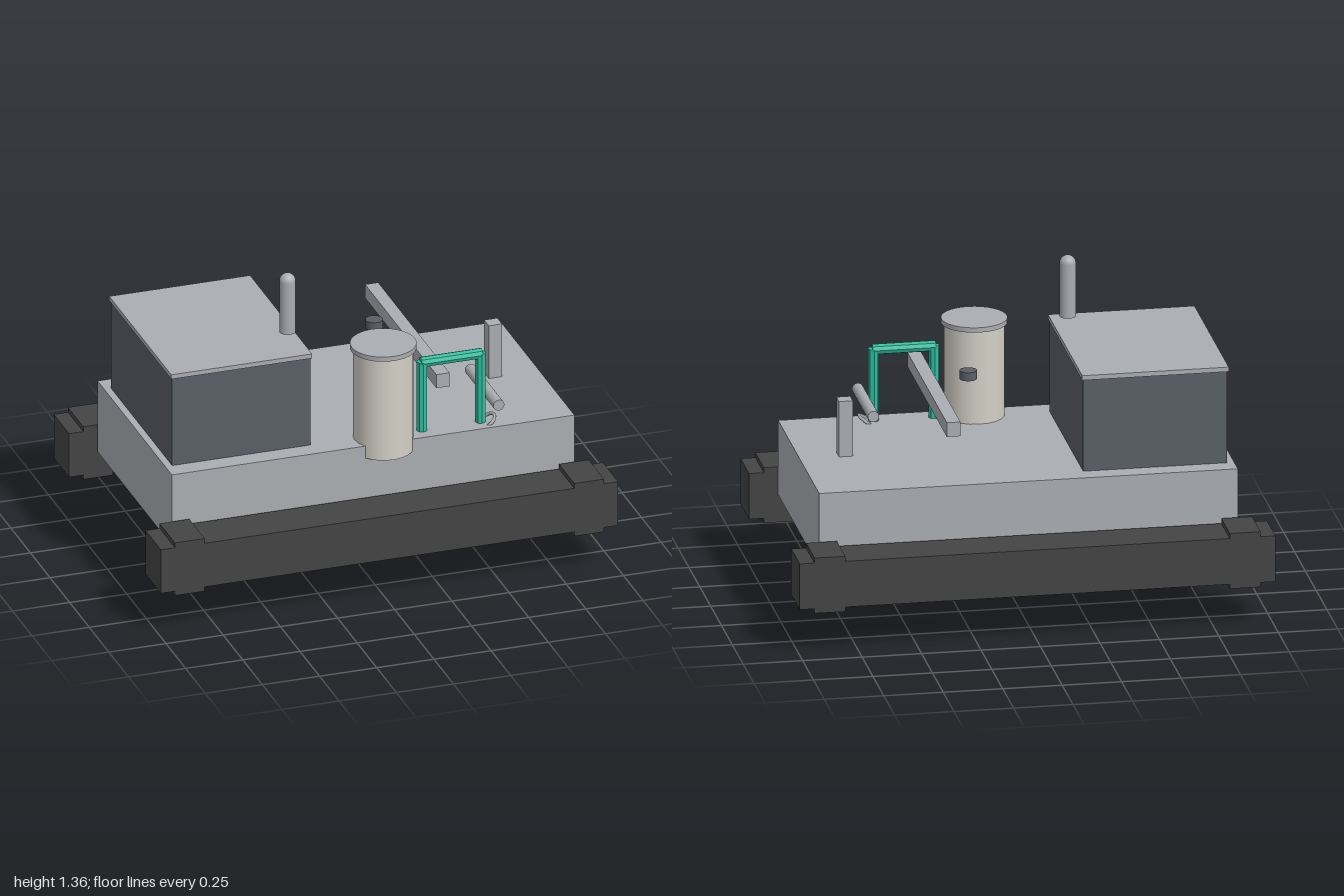
import * as THREE from 'three';

const mat = (color) => new THREE.MeshStandardMaterial({ color });

export function createModel() {
  const model = new THREE.Group();
  const grey = mat(0xaaadb2), dark = mat(0x444444), slate = mat(0x5a5e67);
  const cream = mat(0xd3d0c6), green = mat(0x2fbf9f);
  green.flatShading = true;

  const add = (name, geometry, material, x, y, z) => {
    const mesh = new THREE.Mesh(geometry, material);
    mesh.name = name;
    mesh.position.set(x, y, z);
    model.add(mesh);
    return mesh;
  };
  // Box given by its lower and upper corners
  const box = (name, material, [x0, y0, z0], [x1, y1, z1]) =>
    add(name, new THREE.BoxGeometry(x1 - x0, y1 - y0, z1 - z0), material,
      (x0 + x1) / 2, (y0 + y1) / 2, (z0 + z1) / 2);
  // Upright cylinder from y0 to y1
  const post = (name, material, x, z, r, y0, y1, sides = 24) =>
    add(name, new THREE.CylinderGeometry(r, r, y1 - y0, sides), material, x, (y0 + y1) / 2, z);

  // Hull and machinery cabinet
  box('hull', grey, [-0.88, 0.305, -0.474], [0.88, 0.63, 0.474]);
  box('cabinet', slate, [-0.85, 0.63, -0.39], [-0.245, 1.03, 0.39]);
  box('cabinetLid', grey, [-0.856, 1.03, -0.396], [-0.24, 1.05, 0.396]);

  // Tracks with a raised block near each end
  for (const side of [-1, 1]) {
    const z0 = side * 0.585 - 0.098, z1 = side * 0.585 + 0.098;
    box('track', dark, [-1, 0.2, z0], [1, 0.4, z1]);
    for (const end of [-1, 1])
      box('trackEndBlock', dark, [end * 0.873 - 0.065, 0.18, z0], [end * 0.873 + 0.065, 0.422, z1]);
  }

  // Tank on the front edge
  post('tank', cream, 0.069, 0.402, 0.126, 0.575, 1.035, 20);
  post('tankCap', grey, 0.069, 0.402, 0.138, 1.035, 1.056, 32);

  // Pipe bridge
  for (const x of [0.238, 0.493]) post('pipeLeg', green, x, 0.402, 0.023, 0.62, 0.945, 8);
  const bridge = post('pipeBridge', green, 0.365, 0.402, 0.023, 0.807, 1.073, 8);
  bridge.position.y = 0.941;
  bridge.rotation.set(0, 0, Math.PI / 2);

  // Small tilted valve wheel half sunk at the foot of the pipe
  const wheel = add('valveWheel', new THREE.TorusGeometry(0.04, 0.007, 8, 20), grey, 0.52, 0.63, 0.405);
  wheel.rotation.set(Math.PI / 2, Math.PI / 5, 0);

  // Exhaust stack with a domed top
  post('exhaustStack', grey, -0.295, 0.242, 0.034, 1.092, 1.325);
  add('exhaustDome', new THREE.SphereGeometry(0.034, 24, 10, 0, Math.PI * 2, 0, Math.PI / 2),
    grey, -0.295, 1.325, 0.242);

  // Deck fittings
  box('crossBeam', grey, [0.283, 0.838, -0.455], [0.34, 0.9, 0.455]);
  post('dial', slate, 0.167, 0, 0.036, 0.929, 0.966);
  box('mast', grey, [0.658, 0.63, -0.03], [0.716, 0.872, 0.03]);
  const rod = post('rod', grey, 0.541, 0.317, 0.024, 0.557, 0.922);
  rod.rotation.x = Math.PI / 2;

  // Drill under the hull
  post('drillCollar', grey, 0.688, 0, 0.078, 0.23, 0.306);
  post('drillShaft', grey, 0.688, 0, 0.035, 0.04, 0.23);
  box('drillBit', grey, [0.673, 0, -0.006], [0.703, 0.04, 0.006]);

  return model;
}
